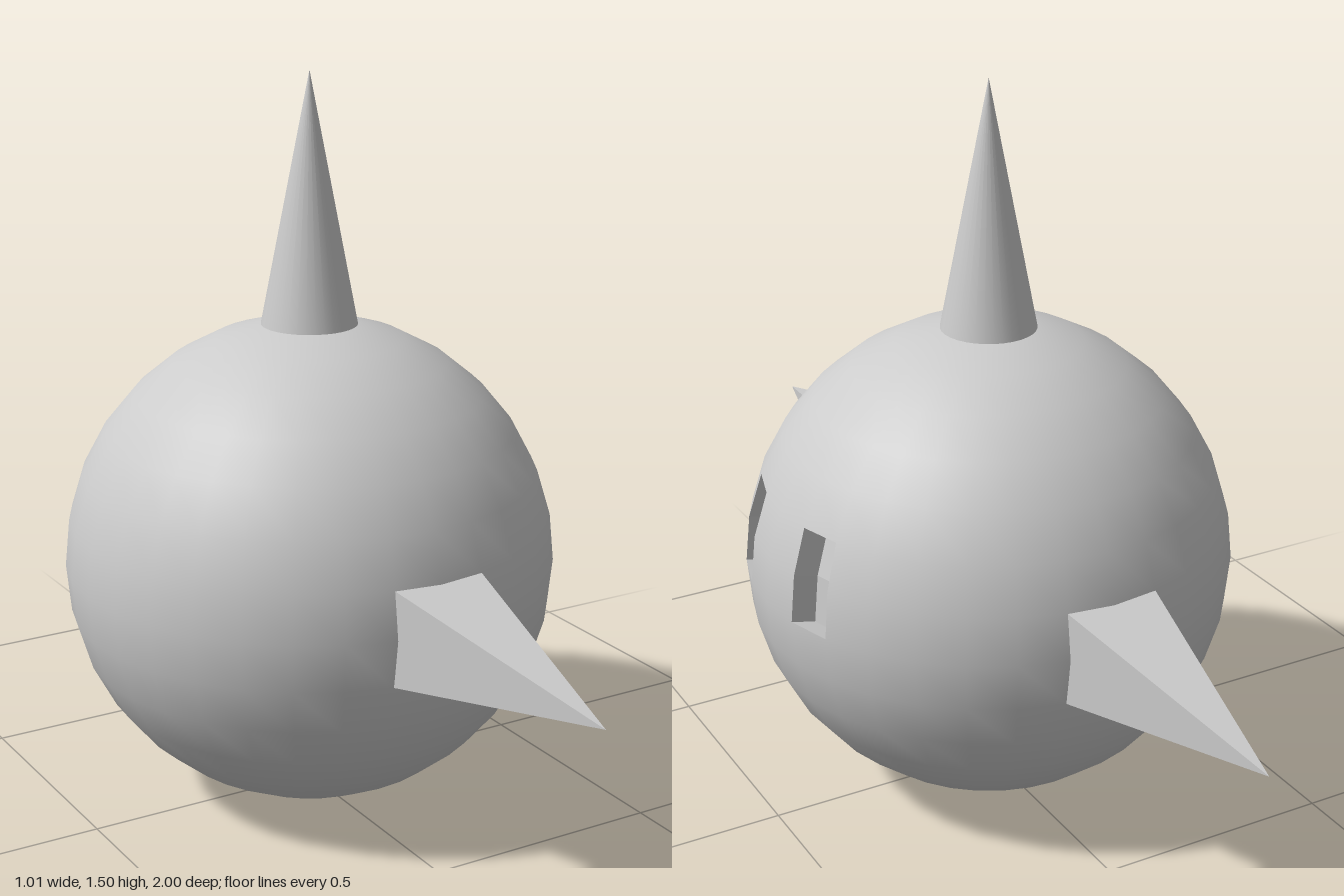
import * as THREE from 'three';

const R = 0.503, CY = 0.504, SEG = 32, ROWS = 16;
const EYE_ROWS = [6, 7];      // cells just above the equator
const EYE_COLUMNS = [14, 17]; // either side of +x
const PUSH = new THREE.Vector3(-0.05, -0.012, 0);

const material = new THREE.MeshStandardMaterial({ color: 0xcccccc });
const flatMaterial = new THREE.MeshStandardMaterial({ color: 0xcccccc, flatShading: true });

function addMesh(parent, name, geometry, mat) {
  const mesh = new THREE.Mesh(geometry, mat);
  mesh.name = name;
  parent.add(mesh);
  return mesh;
}

// Sphere with the eye cells left open
function bodyGeometry() {
  const geo = new THREE.SphereGeometry(R, SEG, ROWS);
  const open = new Set();
  for (const r of EYE_ROWS) for (const c of EYE_COLUMNS) open.add(r * (SEG + 1) + c);
  const src = geo.index.array, kept = [];
  for (let i = 0; i < src.length; i += 3) {
    const tri = [src[i], src[i + 1], src[i + 2]];
    if (!open.has(Math.min(...tri))) kept.push(...tri);
  }
  geo.setIndex(kept);
  return geo;
}

// Recess behind one open column of cells: pushed-in floor plus four walls
function eyeGeometry(column) {
  const point = (row, col) => {
    const phi = (col / SEG) * Math.PI * 2, theta = (row / ROWS) * Math.PI;
    return new THREE.Vector3(
      -Math.cos(phi) * Math.sin(theta), Math.cos(theta), Math.sin(phi) * Math.sin(theta)
    ).multiplyScalar(R);
  };
  const pos = [];
  const quad = (a, b, c, d) => {
    for (const p of [a, b, c, a, c, d]) pos.push(p.x, p.y, p.z);
  };
  const inner = (p) => p.clone().add(PUSH);

  // Rim, counter-clockwise seen from outside
  const rim = [];
  for (let r = 6; r <= 8; r++) rim.push(point(r, column));
  for (let r = 8; r >= 6; r--) rim.push(point(r, column + 1));
  rim.forEach((p, i) => {
    const q = rim[(i + 1) % rim.length];
    quad(p, q, inner(q), inner(p));
  });
  for (const r of EYE_ROWS) {
    quad(inner(point(r, column)), inner(point(r + 1, column)),
      inner(point(r + 1, column + 1)), inner(point(r, column + 1)));
  }
  const geo = new THREE.BufferGeometry();
  geo.setAttribute('position', new THREE.Float32BufferAttribute(pos, 3));
  geo.computeVertexNormals();
  return geo;
}

export function createModel() {
  const model = new THREE.Group();
  model.name = 'spikedBall';
  const ball = new THREE.Group();
  ball.name = 'ball';
  ball.position.y = CY;
  model.add(ball);

  addMesh(ball, 'body', bodyGeometry(), material);

  // Sunken eyes on the +x side
  const eyeMaterial = flatMaterial.clone();
  eyeMaterial.side = THREE.DoubleSide;
  EYE_COLUMNS.forEach((c, i) => addMesh(ball, i ? 'backEye' : 'frontEye', eyeGeometry(c), eyeMaterial));

  // Round horn on top
  const hornBase = 0.493, hornTip = 1.0;
  const horn = new THREE.ConeGeometry(0.098, hornTip - hornBase, SEG, 1, true);
  horn.translate(0, (hornTip + hornBase) / 2, 0);
  addMesh(ball, 'topHorn', horn, material);

  // Four-sided spikes at front and back
  const spikeBase = 0.48, spikeTip = 1.0;
  for (const side of [1, -1]) {
    const spike = new THREE.ConeGeometry(0.098 * Math.SQRT2, spikeTip - spikeBase, 4, 1, true);
    spike.rotateY(Math.PI / 4);
    spike.translate(0, (spikeTip + spikeBase) / 2, 0);
    spike.rotateX(side * Math.PI / 2);
    addMesh(ball, side > 0 ? 'frontSpike' : 'backSpike', spike, flatMaterial);
  }
  return model;
}
